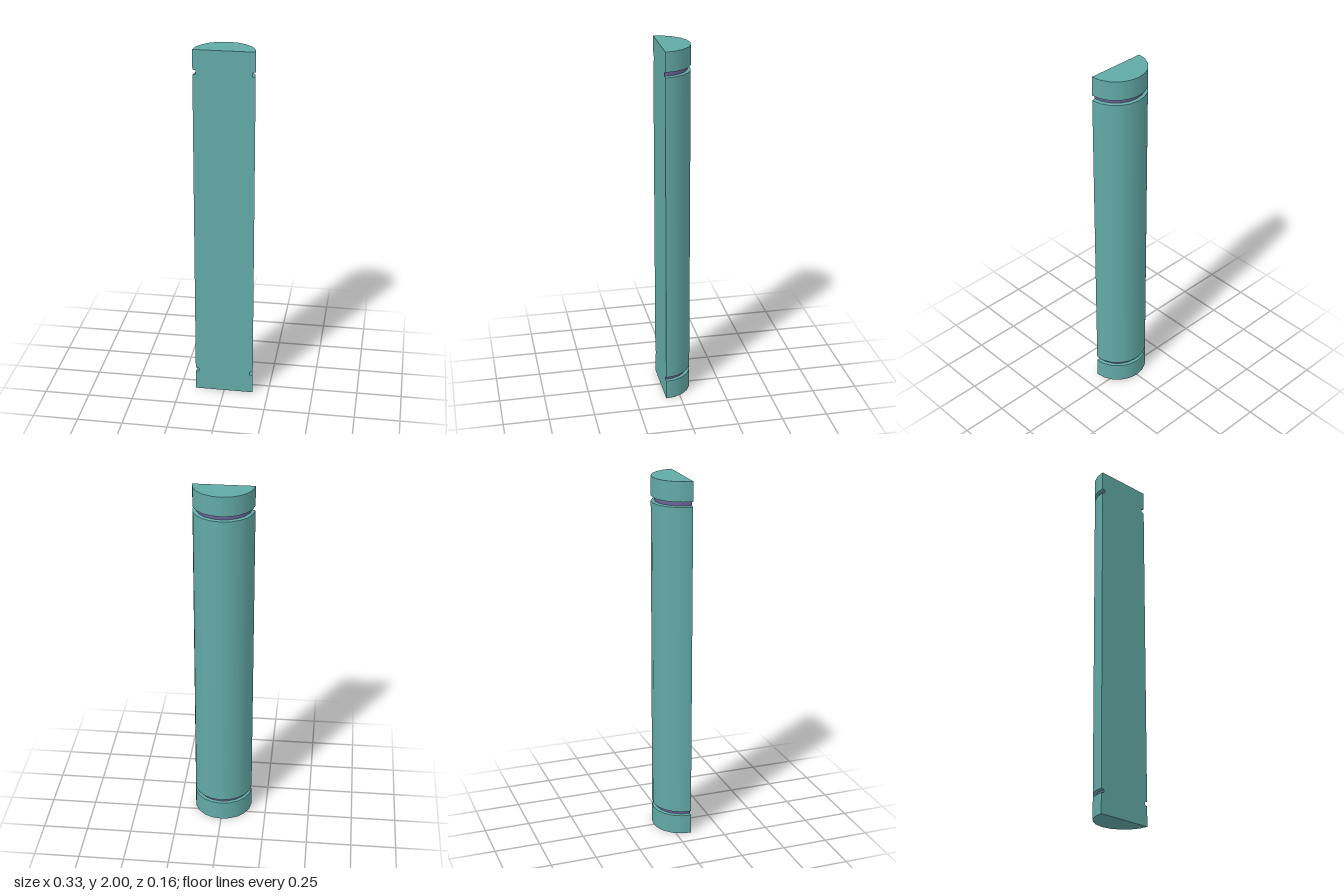
import * as THREE from 'three';

const R = 0.163;      // outer radius
const GROOVE = 0.146; // radius at the groove floor
const FRONT = 0.081;  // z of the flat face
const SIDES = 10;

// Outline from the bottom centre to the top centre: [radius, height]
const PROFILE = [
  [0, 0], [R, 0],
  [R, 0.11], [GROOVE, 0.113], [GROOVE, 0.13], [R, 0.134],
  [R, 1.866], [GROOVE, 1.87], [GROOVE, 1.891], [R, 1.894],
  [R, 2], [0, 2],
];
const NAMES = [
  'bottomCap', 'bottomCollar', 'lowerGrooveLowerSide', 'lowerGrooveFloor', 'lowerGrooveUpperSide',
  'shaft', 'upperGrooveLowerSide', 'upperGrooveFloor', 'upperGrooveUpperSide', 'topCollar', 'topCap',
];

export function createModel() {
  const teal = new THREE.MeshStandardMaterial({ color: 0x62aaa7 });
  teal.name = 'teal';
  const purple = new THREE.MeshStandardMaterial({ color: 0x6a6296 });
  purple.name = 'purple';

  const model = new THREE.Group();
  model.name = 'halfRoundColumn';
  const add = (name, geometry, material) => {
    const mesh = new THREE.Mesh(geometry, material);
    mesh.name = name;
    mesh.position.z = FRONT;
    model.add(mesh);
  };

  // Rounded back: one half-turn band per straight piece, so the edges stay sharp
  NAMES.forEach((name, i) => {
    const points = [PROFILE[i], PROFILE[i + 1]].map(([r, y]) => new THREE.Vector2(r, y));
    const band = new THREE.LatheGeometry(points, SIDES, Math.PI / 2, Math.PI);
    add(name, band, name.endsWith('Floor') ? purple : teal);
  });

  // Flat front, notched where the grooves run out
  const side = PROFILE.slice(1, -1);
  const outline = [
    ...side.map(([r, y]) => new THREE.Vector2(r, y)),
    ...side.map(([r, y]) => new THREE.Vector2(-r, y)).reverse(),
  ];
  add('flatFront', new THREE.ShapeGeometry(new THREE.Shape(outline)), teal);

  return model;
}
